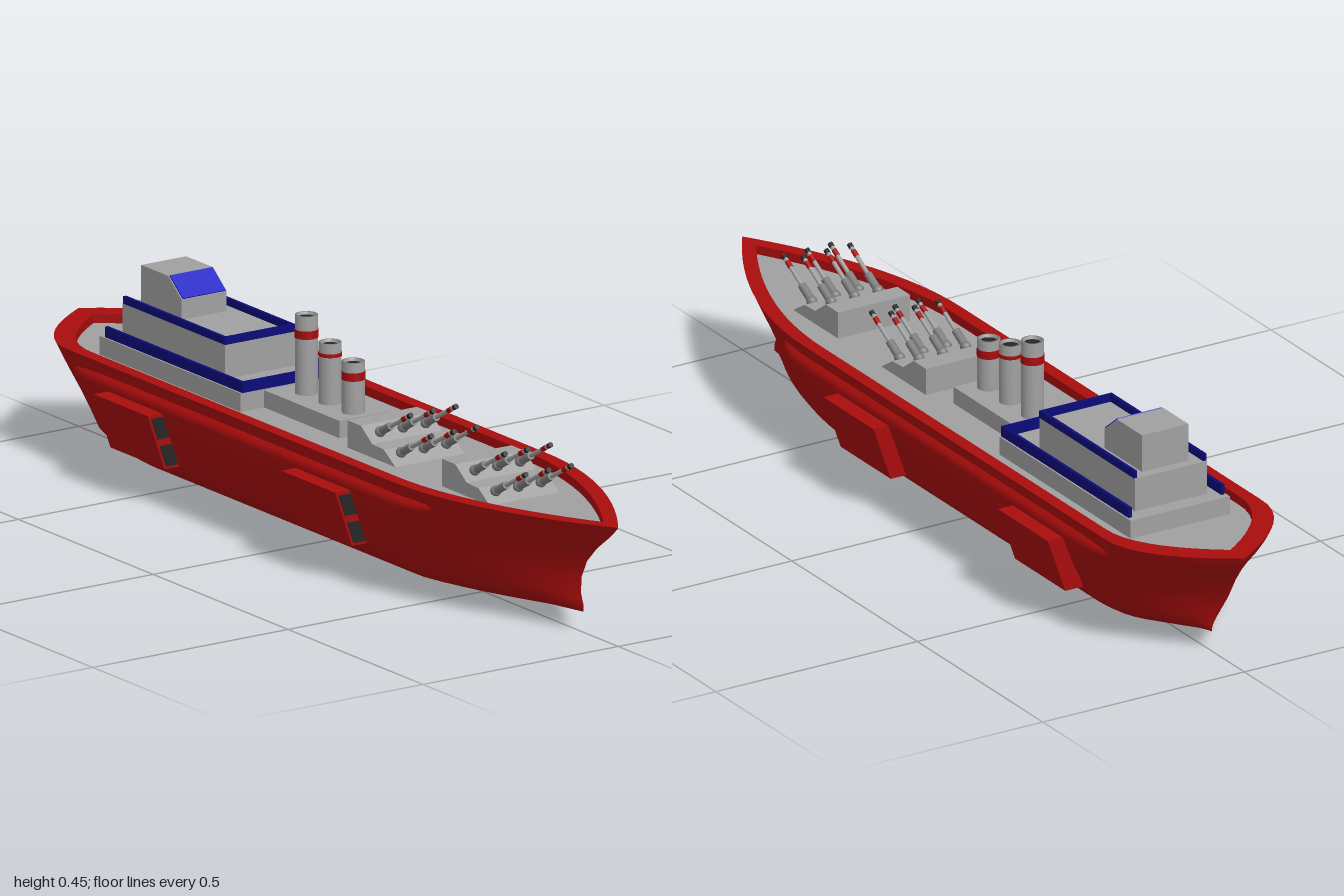
import * as THREE from 'three';

const mat = (name, color, side = THREE.FrontSide) => {
  const m = new THREE.MeshStandardMaterial({ color, side });
  m.name = name;
  return m;
};

export function createModel() {
  const ship = new THREE.Group();
  ship.name = 'ship';
  const red = mat('hull red', 0xa80c0c, THREE.DoubleSide);
  const grey = mat('deck grey', 0xa0a0a0, THREE.DoubleSide);
  const navy = mat('rail navy', 0x0a0a78);
  const blue = mat('window blue', 0x0b0bc4);
  const dark = mat('dark opening', 0x262626);
  const steel = mat('gun steel', 0x7c7c7c);

  const add = (name, geo, material, parent = ship) => {
    const m = new THREE.Mesh(geo, material);
    m.name = name;
    parent.add(m);
    return m;
  };
  // Box given by its limits
  const box = (name, x0, x1, y0, y1, z0, z1, material) =>
    add(name, new THREE.BoxGeometry(x1 - x0, y1 - y0, z1 - z0), material)
      .position.set((x0 + x1) / 2, (y0 + y1) / 2, (z0 + z1) / 2);
  // Cross-section in x/y pulled along z
  const extrude = (pts, depth) => new THREE.ExtrudeGeometry(
    new THREE.Shape(pts.map(p => new THREE.Vector2(...p))), { depth, bevelEnabled: false });
  // Side profile in z/y pulled across the ship
  const crosswise = (pts, width) =>
    extrude(pts, width).translate(0, 0, -width / 2).rotateY(-Math.PI / 2);

  // Plan outlines, s = -1 at the stern and 1 at the bow
  const hullPlan = s => s > 0.45 ? 1 - ((s - 0.45) / 0.55) ** 1.9
    : s < -0.76 ? 1 - ((-s - 0.76) / 0.24) ** 2 : 1;
  const beltPlan = s => 1 - 0.18 * Math.abs(s) ** 16;
  const keelRise = z => 0.045 * Math.max(0, (z - 0.42) / 0.45, (-z - 0.6) / 0.27);

  // Skin one side from rows of [y, halfWidth, bowZ, sternZ]
  function loft(rows, side, plan) {
    const N = 56, pos = [], idx = [];
    rows.forEach(([y, w, zf, zb], j) => {
      for (let i = 0; i <= N; i++) {
        const s = -Math.cos(Math.PI * i / N);
        const z = s > 0 ? s * zf : -s * zb;
        const lift = plan === hullPlan ? keelRise(z) * Math.max(0, 1 - y / 0.09) : 0;
        pos.push(side * w * plan(s), y + lift, z);
        if (j && i) {
          const d = j * (N + 1) + i, c = d - 1, b = d - N - 1, a = b - 1;
          if (side > 0) idx.push(a, b, c, b, d, c);
          else idx.push(a, c, b, b, c, d);
        }
      }
    });
    const g = new THREE.BufferGeometry();
    g.setAttribute('position', new THREE.Float32BufferAttribute(pos, 3));
    g.setIndex(idx);
    g.computeVertexNormals();
    return g;
  }

  const hullRows = [
    [0.26, 0.195, 1, -1], [0.245, 0.19, 0.985, -0.992], [0.225, 0.186, 0.96, -0.975],
    [0.195, 0.181, 0.92, -0.945], [0.16, 0.172, 0.885, -0.915], [0.12, 0.16, 0.864, -0.89],
    [0.08, 0.145, 0.862, -0.878], [0.05, 0.122, 0.867, -0.874], [0.03, 0.1, 0.872, -0.872],
    [0.012, 0.055, 0.872, -0.872], [0, 0, 0.872, -0.872]];
  const inner = y => [y, 0.165, 0.945, -0.945];
  const beltRows = [
    [0.237, 0.182, 0.585, -0.805], [0.226, 0.196, 0.575, -0.8], [0.212, 0.203, 0.555, -0.785],
    [0.15, 0.181, 0.5, -0.71], [0.085, 0.158, 0.445, -0.63], [0.076, 0.15, 0.435, -0.62],
    [0.07, 0.128, 0.42, -0.6]];

  for (const side of [1, -1]) {
    const label = side > 0 ? 'left' : 'right';
    add(label + 'Hull', loft(hullRows, side, hullPlan), red);
    add(label + 'Rim', loft([inner(0.26), hullRows[0]], side, hullPlan), red);
    add(label + 'Bulwark', loft([inner(0.24), inner(0.26)], side, hullPlan), red);
    add(label + 'Deck', loft([[0.24, 0, 0.945, -0.945], inner(0.24)], side, hullPlan), grey);
    add(label + 'Belt', loft(beltRows, side, beltPlan), red);

    // Slanted side pods with two dark openings on the front end
    const edge = y => 0.195 + (y - 0.083) * 0.347;
    for (const z of [0.095, -0.6]) {
      const quad = (y0, y1, a, b) => [[edge(y0) - a, y0], [edge(y0) - b, y0],
        [edge(y1) - b, y1], [edge(y1) - a, y1]].map(([x, y]) => [side * x, y]);
      add(label + 'Pod', extrude(quad(0.083, 0.207, 0.045, 0), 0.2), red).position.z = z;
      for (const [y0, y1] of [[0.089, 0.136], [0.152, 0.199]])
        add(label + 'PodOpening', extrude(quad(y0, y1, 0.036, 0.006), 0.004), dark)
          .position.z = z + 0.198;
    }
  }

  // Superstructure tiers, each with a rail open at the back
  const tier = (name, w, y0, y1, zb, zf, railW, railTop, railBack) => {
    box(name, -w, w, y0, y1, zb, zf, grey);
    const t = 0.008;
    for (const s of [-1, 1])
      box(name + 'SideRail', s * railW - t / 2, s * railW + t / 2, y1, railTop, railBack, zf, navy);
    box(name + 'FrontRail', -railW - t / 2, railW + t / 2, y1, railTop, zf - t, zf + 0.001, navy);
  };
  tier('lowerTier', 0.123, 0.23, 0.281, -0.745, -0.222, 0.115, 0.304, -0.73);
  tier('upperTier', 0.089, 0.28, 0.356, -0.708, -0.328, 0.086, 0.372, -0.705);

  // Bridge with a sloping windscreen
  add('bridge', crosswise([[-0.685, 0.35], [-0.685, 0.44], [-0.585, 0.44],
    [-0.535, 0.4], [-0.535, 0.35]], 0.115), grey);
  add('bridgeWindow', crosswise([[-0.585, 0.439], [-0.583, 0.4415],
    [-0.534, 0.4025], [-0.536, 0.4]], 0.11), blue);

  // Funnels on their base
  box('funnelBase', -0.063, 0.063, 0.23, 0.278, -0.223, 0.058, grey);
  for (const [z, top, band, h] of [[0.018, 0.39, 0.36, 0.018], [-0.068, 0.411, 0.386, 0.008],
    [-0.156, 0.45, 0.41, 0.018]]) {
    const r = 0.0245;
    const profile = [[r, 0.27], [r, top], [r - 0.006, top], [r - 0.006, top - 0.012]];
    add('funnel', new THREE.LatheGeometry(profile.map(p => new THREE.Vector2(...p)), 28)
      .toNonIndexed(), grey).position.z = z;
    add('funnelMouth', new THREE.CylinderGeometry(r - 0.005, r - 0.005, 0.004, 28), dark)
      .position.set(0, top - 0.008, z);
    add('funnelBand', new THREE.CylinderGeometry(r + 0.001, r + 0.001, h, 28), red)
      .position.set(0, band, z);
  }

  // One gun, built upright and tilted forward
  function gun(x, y, z, parent) {
    const g = new THREE.Group();
    g.name = 'gun';
    add('gunMount', new THREE.SphereGeometry(0.012, 14, 10), steel, g);
    const tube = (name, r, a, b, material) =>
      add(name, new THREE.CylinderGeometry(r, r, b - a, 12), material, g).position.y = (a + b) / 2;
    tube('gunSleeve', 0.009, 0, 0.045, steel);
    tube('gunBarrel', 0.0048, 0.04, 0.124, grey);
    tube('gunBand', 0.0056, 0.095, 0.112, red);
    tube('gunMuzzle', 0.0058, 0.12, 0.13, dark);
    g.position.set(x, y, z);
    g.rotation.x = Math.PI / 2 - 0.51;
    parent.add(g);
  }

  // Stepped turrets with two rows of three guns
  for (const z of [0.475, 0.125]) {
    const turret = new THREE.Group();
    turret.name = 'turret';
    turret.position.z = z;
    ship.add(turret);
    add('turretBody', crosswise([[0, 0.23], [0, 0.3], [0.05, 0.3], [0.092, 0.27],
      [0.135, 0.268], [0.178, 0.24], [0.178, 0.23]], 0.178), grey, turret);
    for (const x of [-0.058, 0, 0.058]) {
      gun(x, 0.289, 0.078, turret);
      gun(x, 0.262, 0.155, turret);
    }
  }
  return ship;
}
